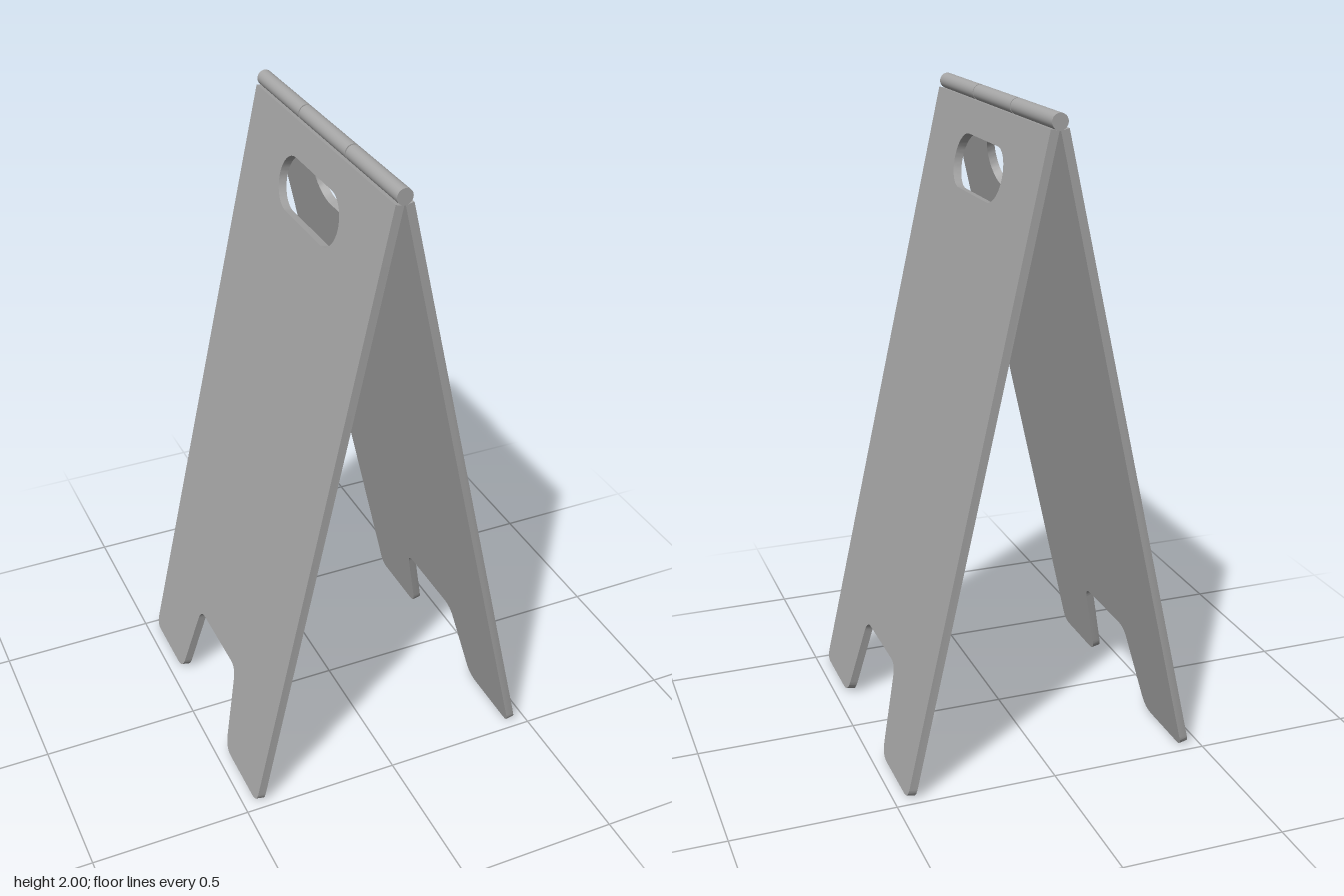
import * as THREE from 'three';
import { toCreasedNormals } from 'three/addons/utils/BufferGeometryUtils.js';

const TILT = 0.2192, THICK = 0.0255, LENGTH = 2.0, HALF = 0.478, FOOT_X = 0.437;

// Traces a closed outline of [x, y, cornerRadius] points with rounded corners
function roundedShape(points) {
  const shape = new THREE.Shape();
  points.forEach(([x, y, cut], i) => {
    const p = new THREE.Vector2(x, y);
    const toward = (q) => new THREE.Vector2(q[0], q[1]).sub(p).setLength(cut).add(p);
    const a = toward(points[(i + points.length - 1) % points.length]);
    const b = toward(points[(i + 1) % points.length]);
    if (i === 0) shape.moveTo(a.x, a.y);
    else shape.lineTo(a.x, a.y);
    if (cut > 0) shape.quadraticCurveTo(x, y, b.x, b.y);
  });
  shape.closePath();
  return shape;
}

function panelGeometry() {
  // Half outline from the middle of the foot notch round to the top corner
  const half = [[0.158, 0.284, 0.04], [0.212, 0, 0.045], [HALF, 0, 0.035], [HALF, LENGTH, 0]];
  const mirrored = half.map(([x, y, r]) => [-x, y, r]).reverse();
  const shape = roundedShape([...half, ...mirrored]);

  // Stadium shaped hand hole
  const r = 0.082, flat = 0.125, y = 1.818;
  const hole = new THREE.Path();
  hole.absarc(flat, y, r, -Math.PI / 2, Math.PI / 2, false);
  hole.absarc(-flat, y, r, Math.PI / 2, Math.PI * 1.5, false);
  hole.closePath();
  shape.holes.push(hole);

  const geometry = new THREE.ExtrudeGeometry(shape, { depth: THICK, bevelEnabled: false, curveSegments: 16 });
  geometry.rotateY(Math.PI / 2);
  geometry.rotateZ(TILT);
  geometry.translate(FOOT_X, 0, 0);
  return toCreasedNormals(geometry, 0.6);
}

export function createModel() {
  const model = new THREE.Group();
  model.name = 'foldingFloorSign';
  const grey = new THREE.MeshStandardMaterial({ color: 0xa6a6a6 });
  grey.name = 'grey plastic';

  // Two matching leaning panels
  const geometry = panelGeometry();
  ['leftPanel', 'rightPanel'].forEach((name, i) => {
    const panel = new THREE.Mesh(geometry, grey);
    panel.name = name;
    panel.rotation.y = i * Math.PI;
    model.add(panel);
  });

  // Hinge barrel in three knuckles with narrow gaps
  const hinge = new THREE.Group();
  hinge.name = 'hinge';
  const gap = 0.0025, split = 0.16;
  [[-HALF, -split - gap], [-split + gap, split - gap], [split + gap, HALF]].forEach(([z0, z1], i) => {
    const knuckle = new THREE.Mesh(new THREE.CylinderGeometry(0.024, 0.024, z1 - z0, 40), grey);
    knuckle.name = `hingeKnuckle${i + 1}`;
    knuckle.rotation.x = Math.PI / 2;
    knuckle.position.set(0, 1.976, (z0 + z1) / 2);
    hinge.add(knuckle);
  });
  // Pin running through the knuckles
  const pin = new THREE.Mesh(new THREE.CylinderGeometry(0.015, 0.015, HALF * 1.9, 24), grey);
  pin.name = 'hingePin';
  pin.rotation.x = Math.PI / 2;
  pin.position.y = 1.976;
  hinge.add(pin);
  model.add(hinge);
  return model;
}
